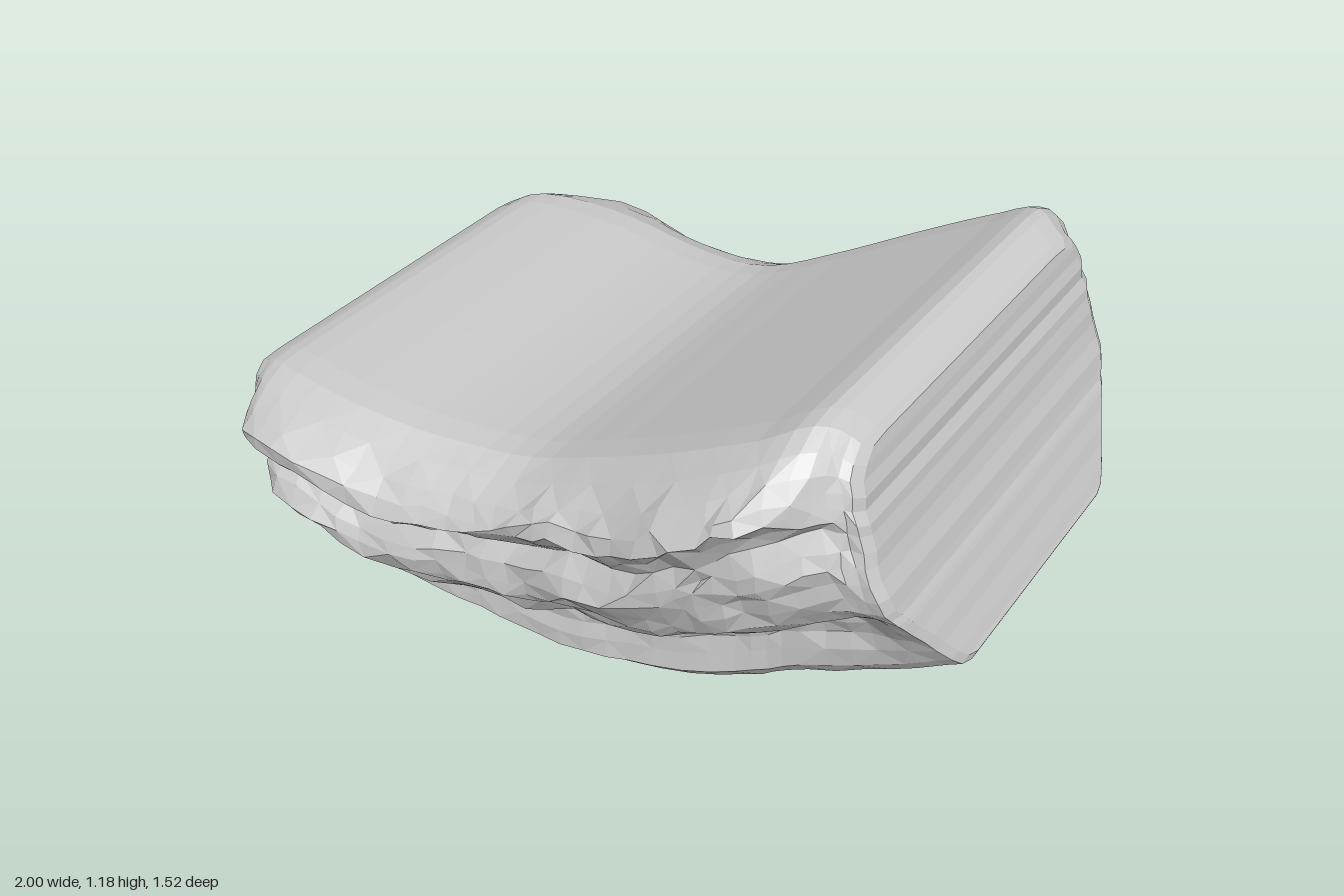
import * as THREE from 'three';

// Half cross-section, top centre to bottom centre:
// [depth from top to bottom, half-width mid-length, at the high end, at the low end]
const SECTION = [
  [0, 0, 0, 0], [0, .2, .18, .18], [0, .36, .33, .34], [0, .47, .43, .45], [.008, .54, .49, .51],
  [.05, .61, .53, .54], [.1, .66, .55, .55], [.15, .695, .56, .555], [.2, .71, .565, .555],
  [.25, .675, .57, .55], [.3, .645, .57, .55], [.36, .665, .57, .545], [.42, .67, .575, .54],
  [.48, .65, .575, .53], [.54, .62, .57, .52], [.6, .59, .565, .5], [.64, .55, .55, .485],
  [.67, .5, .535, .465], [.69, .455, .525, .44], [.74, .44, .5, .41], [.8, .43, .47, .38],
  [.86, .435, .445, .35], [.93, .435, .41, .3], [.98, .4, .38, .25], [1, .36, .345, .21],
  [1, .18, .18, .1], [1, 0, 0, 0],
];
const curve = (pts) => new THREE.CatmullRomCurve3(pts.map(([x, y]) => new THREE.Vector3(x, y, 0)));

// Matching upper and lower outlines of the bent slab
const TOP = curve([[-.99, .69], [-.9, .735], [-.62, .745], [-.35, .735], [-.1, .765],
  [.12, .87], [.35, 1.0], [.55, 1.115], [.68, 1.185], [.755, 1.15]]);
const BOTTOM = curve([[-.96, .05], [-.86, .035], [-.64, .003], [-.38, .02], [-.12, .03],
  [.15, .1], [.45, .235], [.6, .335], [.86, .475], [.995, .562]]);

const hash = (a, b) => {
  const s = Math.sin(a * 127.1 + b * 311.7) * 43758.5453;
  return (s - Math.floor(s)) * 2 - 1;
};
// Noise smoothed along the length and across neighbouring rows, for broad rock facets
const strata = (i, j, seed) => {
  const k = Math.floor(i / 3), f = i / 3 - k;
  const row = (r) => THREE.MathUtils.lerp(hash(k + seed, r), hash(k + 1 + seed, r), f);
  return .5 * row(j) + .25 * row(j + 1) + .35 * hash(i + seed + 50, j);
};

function makeRing(i, steps) {
  const u = i / steps, t = TOP.getPoint(u), b = BOTTOM.getPoint(u);
  const high = THREE.MathUtils.smoothstep(u, .8, 1);
  const low = 1 - THREE.MathUtils.smoothstep(u, -.03, .17);
  const half = SECTION.map(([v, mid, highTip, lowTip], j) => {
    const p = t.clone().lerp(b, v);
    const swell = 1.01 + .045 * Math.cos(2 * Math.PI * (p.x + .62) / 1.07);
    // Rough sides, smoother top, underside and ends
    const rough = THREE.MathUtils.smoothstep(v, .01, .15) * (1 - .65 * THREE.MathUtils.smoothstep(v, .7, .82))
      * (1 - .75 * Math.max(high, low)) * (v < 1 ? 1 : 0);
    const body = mid * (v < .7 ? swell : 1);
    const w = body + (highTip - body) * high + (lowTip - body) * low;
    const wave = Math.sin(9 * p.x + 2) * .6 + Math.sin(17 * p.x) * .4;
    p.x += rough * .015 * hash(i + 9, j) - .022 * high * Math.sin(Math.PI * v);
    p.y += rough * (.018 * strata(i, j, 20) + .018 * wave);
    p.z = w + rough * (.026 * strata(i, j, 3) + .008 * Math.sin(8 * p.x + 16 * v));
    return p;
  });
  const mirrored = half.slice(1, -1).reverse().map((p) => new THREE.Vector3(p.x, p.y, -p.z));
  return [...half, ...mirrored];
}

// Slightly smaller ring pushed outward, giving each end a bevelled rim
function insetRing(ring, push) {
  const c = ring.reduce((s, p) => s.add(p), new THREE.Vector3()).divideScalar(ring.length);
  return ring.map((p) => p.clone().lerp(c, .05).add(new THREE.Vector3(push, 0, 0)));
}

export function createModel() {
  const steps = 33;
  const rings = Array.from({ length: steps + 1 }, (_, i) => makeRing(i, steps));
  rings.unshift(insetRing(rings[0], -.012));
  rings.push(insetRing(rings[rings.length - 1], .012));

  const n = rings[0].length, index = [];
  for (let i = 0; i < rings.length - 1; i++) {
    for (let j = 0; j < n; j++) {
      const a = i * n + j, b = i * n + (j + 1) % n, c = b + n, d = a + n;
      // Alternate the diagonals for irregular facets
      if ((i + j) % 2) index.push(a, b, c, a, c, d);
      else index.push(a, b, d, b, c, d);
    }
  }
  // End faces, in strips from side to side
  const last = (rings.length - 1) * n;
  for (let j = 0; j < SECTION.length - 1; j++) {
    const k = j + 1, c = n - k, d = (n - j) % n;
    index.push(j, c, k, j, d, c);
    index.push(last + j, last + k, last + c, last + j, last + c, last + d);
  }

  const geometry = new THREE.BufferGeometry().setFromPoints(rings.flat());
  geometry.setIndex(index);
  geometry.computeVertexNormals();
  const slab = new THREE.Mesh(geometry, new THREE.MeshStandardMaterial({ color: 0xcccccc, flatShading: true }));
  slab.name = 'rockSlab';

  const group = new THREE.Group();
  group.name = 'bentRock';
  group.add(slab);
  return group;
}
